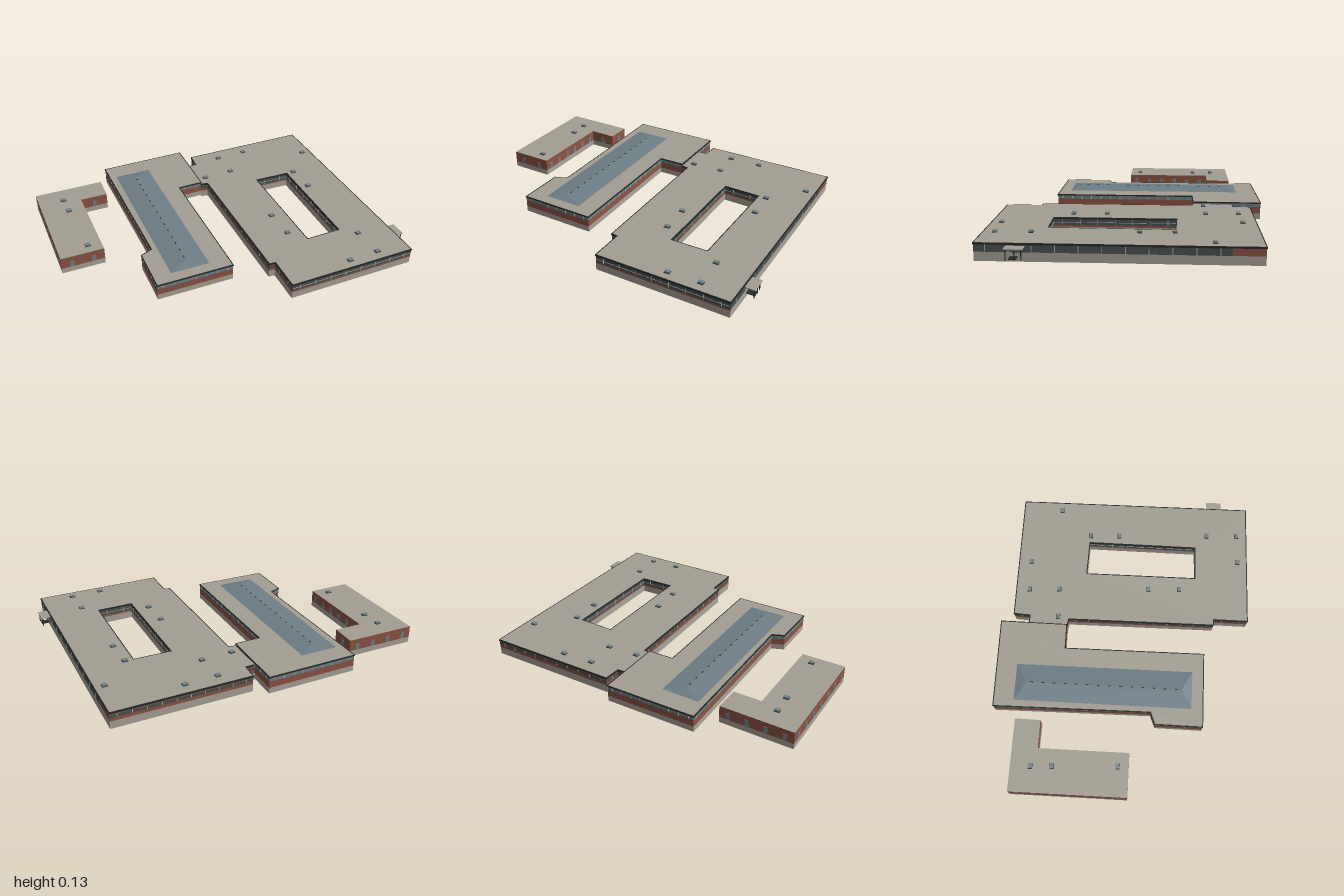
import * as THREE from 'three';

const mat = (name, color, side = THREE.DoubleSide) => {
  const m = new THREE.MeshStandardMaterial({ color, side });
  m.name = name;
  return m;
};

export function createModel() {
  const M = {
    roof: mat('roof grey', 0xa29e93),
    base: mat('plinth stone', 0xaaa59a),
    brick: mat('red brick', 0x8f5545),
    glass: mat('dark glazing', 0x4c5353),
    window: mat('window blue grey', 0x71828a),
    skylight: mat('skylight glass', 0x6d7e85),
    trim: mat('black trim', 0x282b2b),
    frame: mat('pale frame', 0xb4b5b0),
  };
  const root = new THREE.Group();

  const add = (parent, name, geo, m) => {
    const mesh = new THREE.Mesh(geo, m);
    mesh.name = name;
    parent.add(mesh);
    return mesh;
  };
  const box = (parent, name, m, w, h, d, x, y, z, turn = 0) => {
    const mesh = add(parent, name, new THREE.BoxGeometry(w, h, d), m);
    mesh.position.set(x, y, z);
    mesh.rotation.y = turn;
    return mesh;
  };

  // Triangles from quads given as four corners each
  const quads = (list) => {
    const pos = [];
    for (const [a, b, c, d] of list) pos.push(...a, ...b, ...c, ...a, ...c, ...d);
    const g = new THREE.BufferGeometry();
    g.setAttribute('position', new THREE.Float32BufferAttribute(pos, 3));
    g.computeVertexNormals();
    return g;
  };
  const wall = (p, q, y0, y1) =>
    [[p[0], y0, p[1]], [p[0], y1, p[1]], [q[0], y1, q[1]], [q[0], y0, q[1]]];

  // Outline moved outwards by d
  const offset = (pts, d) => pts.map((p, i) => {
    const n = pts.length;
    const a = pts[(i + n - 1) % n], b = pts[(i + 1) % n];
    const normal = (s, e) => {
      const l = Math.hypot(e[0] - s[0], e[1] - s[1]);
      return [(e[1] - s[1]) / l, (s[0] - e[0]) / l];
    };
    const u = normal(a, p), v = normal(p, b);
    const k = d / Math.max(0.3, 1 + u[0] * v[0] + u[1] * v[1]);
    return [p[0] + (u[0] + v[0]) * k, p[1] + (u[1] + v[1]) * k];
  });

  // Flat plate in plan with optional holes, facing up
  const plate = (pts, holes, y) => {
    const vec = (list) => list.map(([x, z]) => new THREE.Vector2(x, -z));
    const s = new THREE.Shape(vec(pts));
    holes.forEach((h) => s.holes.push(new THREE.Path(vec(h))));
    return new THREE.ShapeGeometry(s).rotateX(-Math.PI / 2).translate(0, y, 0);
  };

  // Wall styles: bands of [material, bottom, top], then repeated upright plates
  const styles = {
    curtain: { bands: [['base', 0, 0.05], ['glass', 0.05, 0.092]],
      plates: { m: 'frame', w: 0.004, y0: 0.05, y1: 0.09, step: 0.115 } },
    front: { bands: [['base', 0, 0.043], ['brick', 0.043, 0.054], ['glass', 0.054, 0.092]],
      plates: { m: 'frame', w: 0.004, y0: 0.054, y1: 0.088, step: 0.1 }, rail: 0.07 },
    ribbon: { bands: [['base', 0, 0.045], ['brick', 0.045, 0.064], ['glass', 0.064, 0.082], ['brick', 0.082, 0.092]],
      plates: { m: 'frame', w: 0.004, y0: 0.064, y1: 0.082, step: 0.08 } },
    plain: { bands: [['base', 0, 0.05], ['brick', 0.05, 0.092]] },
    clerestory: { bands: [['base', 0.01, 0.045], ['brick', 0.045, 0.085], ['window', 0.085, 0.109]],
      plates: { m: 'frame', w: 0.004, y0: 0.085, y1: 0.109, step: 0.06 } },
    punched: { bands: [['base', 0.01, 0.045], ['brick', 0.045, 0.117]],
      plates: { m: 'window', w: 0.024, y0: 0.047, y1: 0.088, step: 0.09 } },
  };

  const wallRing = (parent, pts, styleOf) => {
    const bands = {};
    pts.forEach((p, i) => {
      const q = pts[(i + 1) % pts.length], st = styles[styleOf(i)];
      for (const [m, y0, y1] of st.bands) (bands[m] ||= []).push(wall(p, q, y0, y1));
      const dx = q[0] - p[0], dz = q[1] - p[1], len = Math.hypot(dx, dz);
      const turn = Math.atan2(-dz, dx), s = st.plates;
      if (s) {
        const n = Math.floor(len / s.step);
        for (let k = 0; k < n; k++) {
          const t = (k + 0.5) / n;
          box(parent, s.m === 'window' ? 'window' : 'mullion', M[s.m], s.w, s.y1 - s.y0, 0.004,
            p[0] + dx * t, (s.y0 + s.y1) / 2, p[1] + dz * t, turn);
        }
      }
      if (st.rail) box(parent, 'windowRail', M.frame, len, 0.002, 0.004, p[0] + dx / 2, st.rail, p[1] + dz / 2, turn);
    });
    for (const m in bands) add(parent, m + 'Wall', quads(bands[m]), M[m]);
  };

  // Black roof edge: a fascia band and a narrow rim on top
  const roofEdge = (parent, pts, y0, y1) => {
    const out = offset(pts, 0.003), inn = offset(pts, -0.003);
    const at = (list, i) => list[(i + 1) % list.length];
    const list = [];
    out.forEach((p, i) => {
      const q = at(out, i), a = inn[i], b = at(inn, i);
      list.push(wall(p, q, y0, y1));
      list.push([[p[0], y1, p[1]], [a[0], y1, a[1]], [b[0], y1, b[1]], [q[0], y1, q[1]]]);
    });
    add(parent, 'roofEdge', quads(list), M.trim);
  };

  const vents = (parent, y, list) => list.forEach(([x, z]) => {
    box(parent, 'roofVent', M.window, 0.03, 0.012, 0.022, x, y + 0.006, z);
    box(parent, 'ventRim', M.trim, 0.034, 0.003, 0.026, x, y + 0.0015, z);
  });

  const group = (name) => {
    const g = new THREE.Group();
    g.name = name;
    root.add(g);
    return g;
  };

  // Courtyard building
  const court = group('courtyardBuilding');
  const outer = [[0.171, -0.722], [0.992, -0.69], [0.986, -0.52], [0.93, 0.805], [0.123, 0.775], [0.134, 0.56],
    [0.096, 0.556], [0.134, -0.37], [0.09, -0.38], [0.1, -0.62], [0.16, -0.62]];
  const yard = [[0.454, -0.262], [0.422, 0.45], [0.647, 0.455], [0.684, -0.246]];
  wallRing(court, outer, (i) => ['ribbon', 'plain', 'curtain', 'front'][i] || 'ribbon');
  wallRing(court, yard, () => 'front');
  add(court, 'roof', plate(outer, [yard], 0.099), M.roof);
  roofEdge(court, outer, 0.09, 0.1);
  roofEdge(court, yard, 0.09, 0.1);
  vents(court, 0.099, [[0.342, -0.63], [0.54, -0.63], [0.15, -0.438], [0.342, -0.438], [0.925, -0.438],
    [0.733, -0.24], [0.733, -0.048], [0.342, 0.144], [0.342, 0.342], [0.733, 0.535], [0.54, 0.733], [0.733, 0.733]]);

  // Entrance canopy on posts
  const porch = group('entrancePorch');
  box(porch, 'canopy', M.roof, 0.06, 0.006, 0.1, 0.968, 0.082, 0.59, -0.04);
  for (const z of [0.55, 0.585, 0.63]) box(porch, 'post', M.trim, 0.005, 0.055, 0.005, 0.99, 0.052, z);
  box(porch, 'landing', M.trim, 0.05, 0.005, 0.04, 0.965, 0.029, 0.595);

  // Middle hall with its long hipped skylight
  const hall = group('middleHall');
  const hallPts = [[-0.444, -0.815], [0.112, -0.797], [0.09, -0.38], [-0.07, -0.385], [-0.107, 0.487],
    [-0.572, 0.465], [-0.556, 0.176], [-0.481, 0.15]];
  wallRing(hall, hallPts, () => 'clerestory');
  add(hall, 'roof', plate(hallPts, [], 0.113), M.roof);
  roofEdge(hall, hallPts, 0.107, 0.114);
  const eave = [[-0.406, 0.1135, -0.69], [-0.176, 0.1135, -0.68], [-0.225, 0.1135, 0.412], [-0.46, 0.1135, 0.4]];
  const r0 = [-0.294, 0.127, -0.615], r1 = [-0.342, 0.127, 0.342];
  add(hall, 'skylight', quads([
    [eave[1], eave[0], r0, r0], [eave[2], eave[1], r0, r1],
    [eave[3], eave[2], r1, r1], [eave[0], eave[3], r1, r0],
  ]), M.skylight);
  for (let i = 0; i < 14; i++) {
    const t = (i + 0.5) / 14;
    box(hall, 'ridgeClip', M.trim, 0.006, 0.002, 0.016, r0[0] + (r1[0] - r0[0]) * t, 0.127, r0[2] + (r1[2] - r0[2]) * t, -0.05);
  }

  // Small L-shaped brick wing
  const wing = group('brickWing');
  const wingPts = [[-0.963, -0.695], [-0.524, -0.674], [-0.535, -0.518], [-0.706, -0.527], [-0.733, 0.022], [-0.998, 0.01]];
  wallRing(wing, wingPts, () => 'punched');
  add(wing, 'roof', plate(wingPts, [], 0.117), M.roof);
  vents(wing, 0.117, [[-0.813, -0.567], [-0.813, -0.438], [-0.813, -0.048]]);

  return root;
}
